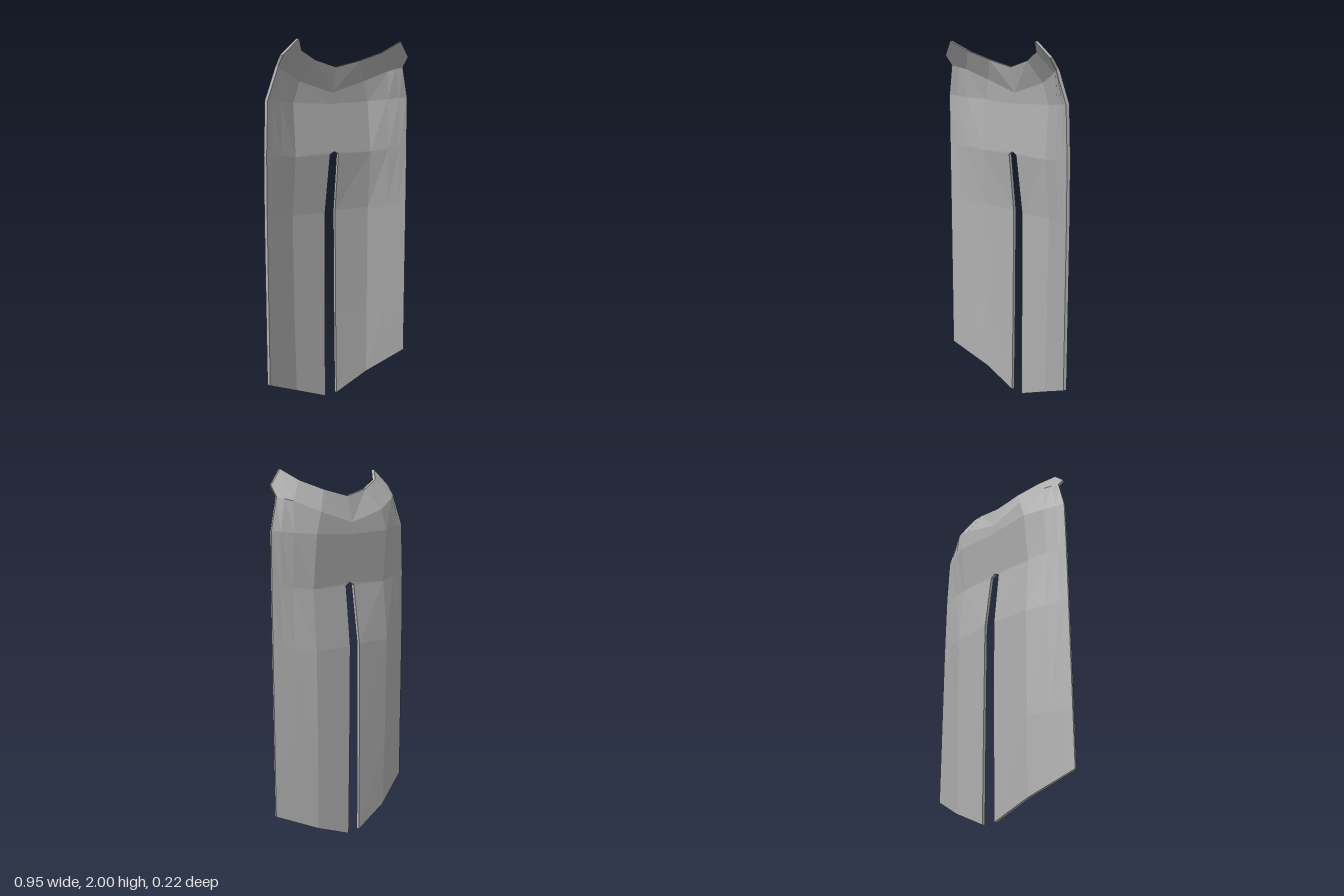
import * as THREE from 'three';

const THICKNESS = 0.018;

// A skirt row is given by its inner, middle and outer points; two more columns lie between the last two.
function skirtRow(inner, mid, outer) {
  const between = t => mid.map((v, i) => v + (outer[i] - v) * t);
  return [inner, mid, between(0.5), between(0.8), outer];
}

// Back surface of the +x half, from hem to collar, each point [x, y, z]
const ROWS = [
  skirtRow([0.04, 0, -0.105], [0.25, 0.09, -0.088], [0.477, 0.2, -0.008]),
  skirtRow([0.037, 0.5, -0.108], [0.255, 0.5, -0.094], [0.477, 0.5, -0.008]),
  skirtRow([0.034, 1.08, -0.108], [0.26, 1.08, -0.095], [0.477, 1.1, -0.008]),
  skirtRow([0.028, 1.4, -0.068], [0.255, 1.4, -0.067], [0.475, 1.43, -0.006]),
  skirtRow([0, 1.415, -0.068], [0.255, 1.4, -0.067], [0.475, 1.43, -0.006]),
  skirtRow([0, 1.67, -0.09], [0.25, 1.68, -0.092], [0.467, 1.7, 0]),
  // shoulder line
  [[0, 1.73, -0.085], [0.215, 1.79, -0.083], [0.35, 1.845, -0.03], [0.385, 1.855, -0.005], [0.415, 1.865, 0.02]],
  // collar edge, rising to the pointed shoulder tab
  [[0, 1.865, -0.05], [0.15, 1.9, -0.03], [0.27, 1.945, 0.018], [0.335, 2, 0.09], [0.415, 1.92, 0.063]],
];

function halfCape(side) {
  const positions = [];
  const back = ROWS.map(row => row.map(p => new THREE.Vector3(...p)));
  const front = back.map(row => row.map((p, c) =>
    new THREE.Vector3(p.x - 0.0015 * c, p.y, p.z + THICKNESS)));

  // Skips collapsed triangles and swaps the corner order on the mirrored side
  const tri = (a, b, c) => {
    if (new THREE.Triangle(a, b, c).getArea() < 1e-7) return;
    for (const p of side > 0 ? [a, b, c] : [a, c, b]) positions.push(side * p.x, p.y, p.z);
  };
  const quad = (a, b, c, d) => { tri(a, b, c); tri(a, c, d); };

  const top = ROWS.length - 1, last = ROWS[0].length - 1;
  for (let r = 0; r < top; r++) {
    for (let c = 0; c < last; c++) {
      quad(front[r][c], front[r][c + 1], front[r + 1][c + 1], front[r + 1][c]);
      quad(back[r][c], back[r + 1][c], back[r + 1][c + 1], back[r][c + 1]);
    }
  }

  // Rim between the front and back surfaces, leaving the centre seam open
  const loop = [];
  for (let c = 0; c < last; c++) loop.push([0, c]);
  for (let r = 0; r < top; r++) loop.push([r, last]);
  for (let c = last; c > 0; c--) loop.push([top, c]);
  for (let r = top; r > 0; r--) loop.push([r, 0]);
  loop.forEach(([r, c], i) => {
    const [s, d] = loop[(i + 1) % loop.length];
    if (back[r][c].x === 0 && back[s][d].x === 0) return;
    quad(back[r][c], back[s][d], front[s][d], front[r][c]);
  });

  const geometry = new THREE.BufferGeometry();
  geometry.setAttribute('position', new THREE.Float32BufferAttribute(positions, 3));
  geometry.computeVertexNormals(); // unshared corners give flat facets
  return geometry;
}

export function createModel() {
  const cloth = new THREE.MeshStandardMaterial({ color: 0xb0b0b0 });
  cloth.name = 'grey cloth';
  cloth.flatShading = true;

  const cape = new THREE.Group();
  cape.name = 'cape';
  for (const [name, side] of [['leftCapeHalf', 1], ['rightCapeHalf', -1]]) {
    const mesh = new THREE.Mesh(halfCape(side), cloth);
    mesh.name = name;
    cape.add(mesh);
  }
  return cape;
}
